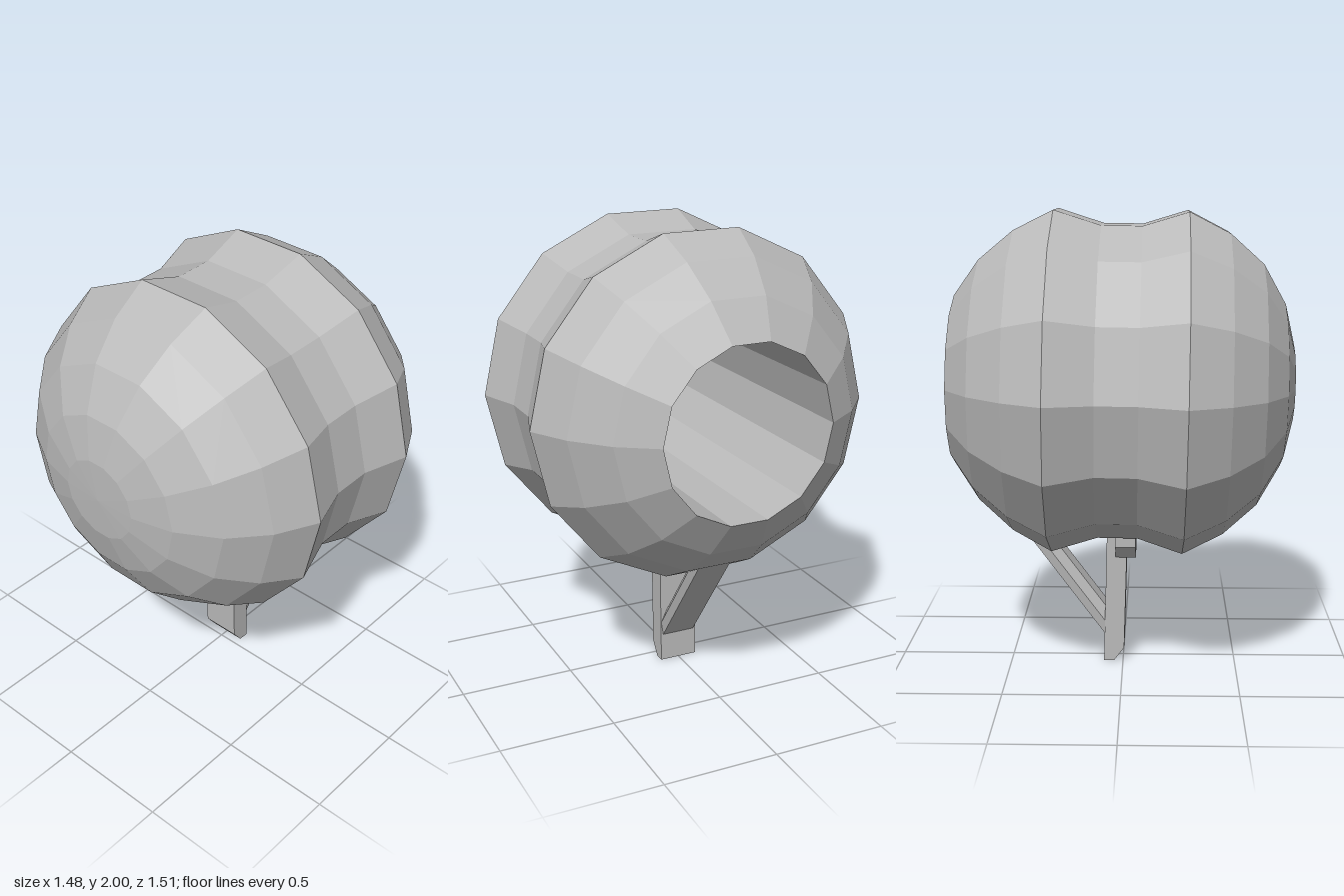
import * as THREE from 'three';

const grey = new THREE.MeshStandardMaterial({ color: 0xbababa });
grey.name = 'plainGrey';

// Faceted mesh: split the faces so each keeps its own flat normal
function facetedMesh(name, geometry) {
  const flat = geometry.index ? geometry.toNonIndexed() : geometry;
  flat.computeVertexNormals();
  const mesh = new THREE.Mesh(flat, grey);
  mesh.name = name;
  return mesh;
}

// Prism with a polygon section, centred along its depth
function prism(points, depth) {
  const shape = new THREE.Shape(points.map(([x, y]) => new THREE.Vector2(x, y)));
  return new THREE.ExtrudeGeometry(shape, { depth, bevelEnabled: false }).translate(0, 0, -depth / 2);
}

export function createModel() {
  const model = new THREE.Group();
  model.name = 'hollowPodOnStand';

  // Pod: 14-sided body turned about the x axis, as [radius, x];
  // closed at -x, grooved in the middle, open at +x with a straight bore
  const profile = [
    [0, -0.742], [0.18, -0.735], [0.36, -0.69], [0.535, -0.59], [0.665, -0.445],
    [0.755, -0.27], [0.692, -0.075], [0.692, 0.1], [0.755, 0.3], [0.665, 0.47],
    [0.535, 0.62], [0.375, 0.73],
    [0.372, -0.66], [0.18, -0.715], [0, -0.722],
  ].map(([r, x]) => new THREE.Vector2(r, x));
  const podGeometry = new THREE.LatheGeometry(profile, 14);
  podGeometry.rotateZ(-Math.PI / 2);
  const pod = facetedMesh('pod', podGeometry);
  pod.position.y = 1.262;
  pod.rotation.z = 0.015;
  model.add(pod);

  // Post with a chamfered foot
  model.add(facetedMesh('post', prism([
    [0.04, 0], [0.085, 0], [0.07, 0.62], [-0.02, 0.62], [-0.005, 0.06],
  ], 0.172)));

  // Flared collar where the post meets the pod
  const collarGeometry = prism([
    [-0.085, 0.48], [0.085, 0.48], [0.135, 0.54], [0.135, 0.6], [-0.135, 0.6], [-0.135, 0.54],
  ], 0.09);
  collarGeometry.rotateY(Math.PI / 2);
  collarGeometry.translate(-0.012, 0, 0);
  model.add(facetedMesh('collar', collarGeometry));

  // Diagonal strut with bevelled sides, from the post up to the pod
  const strutGeometry = prism([
    [-0.075, -0.038], [0.075, -0.038], [0.084, 0], [0.055, 0.038], [-0.055, 0.038], [-0.084, 0],
  ], 0.6);
  strutGeometry.rotateY(Math.PI / 2);
  const strut = facetedMesh('strut', strutGeometry);
  strut.rotation.z = Math.atan2(0.43, 0.32);
  strut.position.set(0.23, 0.388, 0);
  model.add(strut);

  return model;
}
